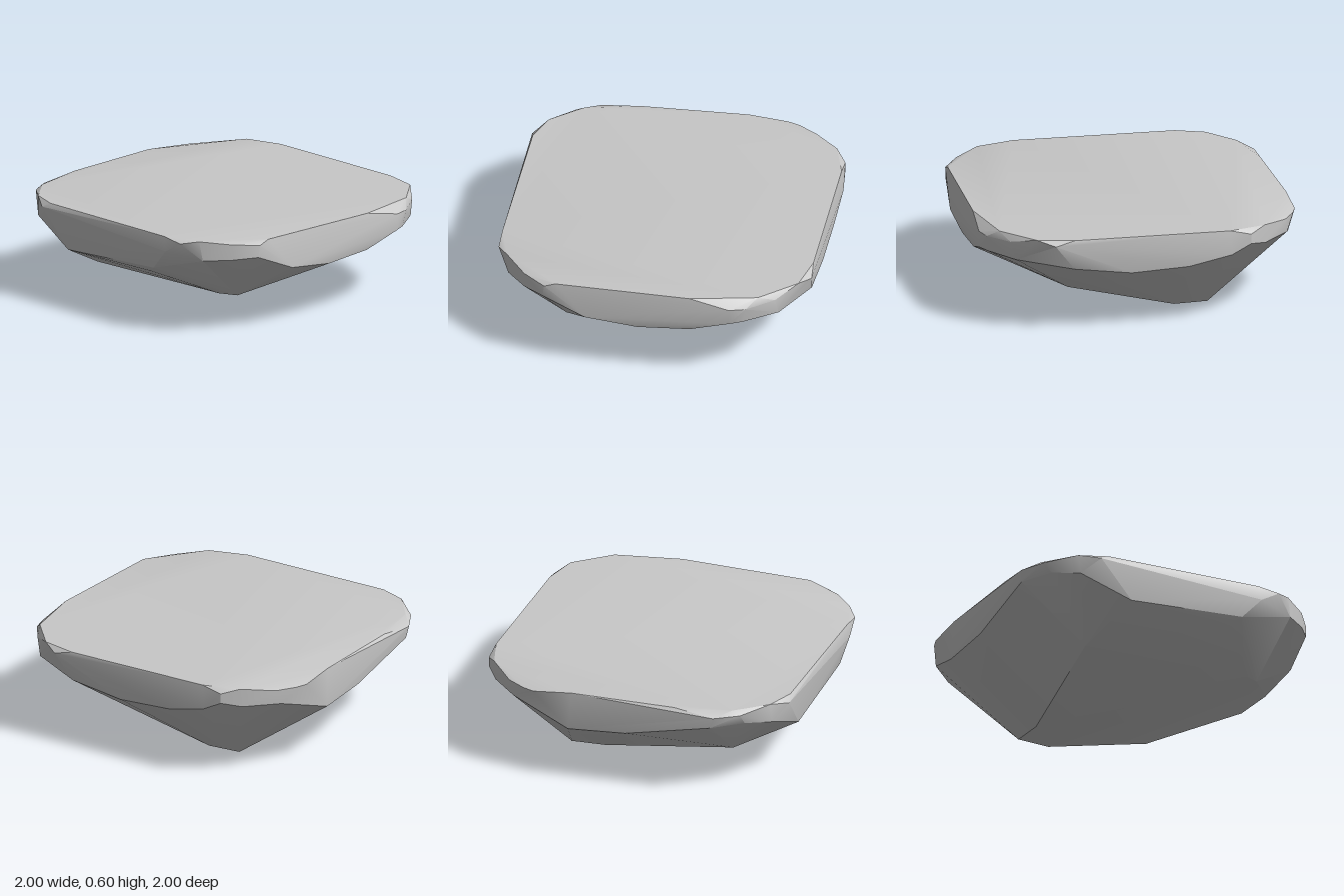
import * as THREE from 'three';
import { ConvexGeometry } from 'three/addons/geometries/ConvexGeometry.js';
import { toCreasedNormals } from 'three/addons/utils/BufferGeometryUtils.js';

// Flat top outline as [x, z], all at the same height
const topHeight = 0.6;
const topRim = [
  [-0.62, -0.92], [-0.27, -0.97], [0.38, -0.945], [0.94, -0.65],
  [0.99, -0.42], [0.91, 0.53], [0.84, 0.75], [0.61, 0.92], [0.2, 0.97], [-0.62, 0.895],
  [-0.94, 0.62], [-0.99, 0.38], [-0.9, -0.61], [-0.82, -0.78],
];

// Chipped corners that bulge just below the top, as [x, y, z]
const bulges = [
  [-0.67, 0.575, -0.93], [-0.52, 0.57, -1], [-0.5, 0.5, -0.99], [0.62, 0.575, -0.93],
  [0.69, 0.575, -0.9], [0.8, 0.575, -0.82], [1, 0.57, -0.55], [1, 0.45, -0.43],
  [0.91, 0.57, 0.65], [0.71, 0.56, 0.88], [0.54, 0.55, 0.98], [0.44, 0.55, 1], [0.44, 0.45, 1],
  [-0.69, 0.575, 0.89], [-0.82, 0.585, 0.785], [-1, 0.58, 0.52], [-1, 0.51, 0.4],
  [-0.91, 0.57, -0.67],
];

// Lower edge of the side wall
const lowerRim = [
  [-0.7, 0.5, 0.885], [-0.44, 0.39, 0.93], [-0.12, 0.35, 0.945], [0.2, 0.37, 0.965],
  [0.52, 0.45, 0.97], [0.73, 0.45, 0.85], [0.9, 0.415, 0.53], [0.935, 0.37, 0.18],
  [0.97, 0.39, -0.17], [1, 0.51, -0.55], [0.93, 0.485, -0.66], [0.77, 0.485, -0.84],
  [0.4, 0.36, -0.95], [0.04, 0.38, -0.96], [-0.69, 0.51, -0.89], [-0.83, 0.48, -0.77],
  [-0.91, 0.34, -0.46], [-0.93, 0.34, 0.22], [-0.97, 0.38, 0.28],
  [-0.93, 0.48, 0.64], [-0.82, 0.49, 0.785],
];

// Off-centre underside: a small foot, two shoulders and a blunt far corner
const underside = [
  [0.52, 0, -0.41], [0.52, 0, -0.2], [0.31, 0, -0.41],
  [0.46, 0.15, 0.45], [-0.53, 0.165, -0.56],
  [-0.58, 0.185, 0.61], [-0.62, 0.185, 0.5],
];

export function createModel() {
  const group = new THREE.Group();
  group.name = 'flatRock';
  const stone = new THREE.MeshStandardMaterial({ color: 0xc8c8c8 });
  stone.name = 'stone grey';

  const points = [
    ...topRim.map(([x, z]) => [x, topHeight, z]), ...bulges, ...lowerRim, ...underside,
  ].map((p) => new THREE.Vector3(...p));

  // Soft facets with sharp breaks along the top and the lower rim
  const rock = new THREE.Mesh(toCreasedNormals(new ConvexGeometry(points), Math.PI / 6), stone);
  rock.name = 'rockSlab';
  group.add(rock);
  return group;
}
